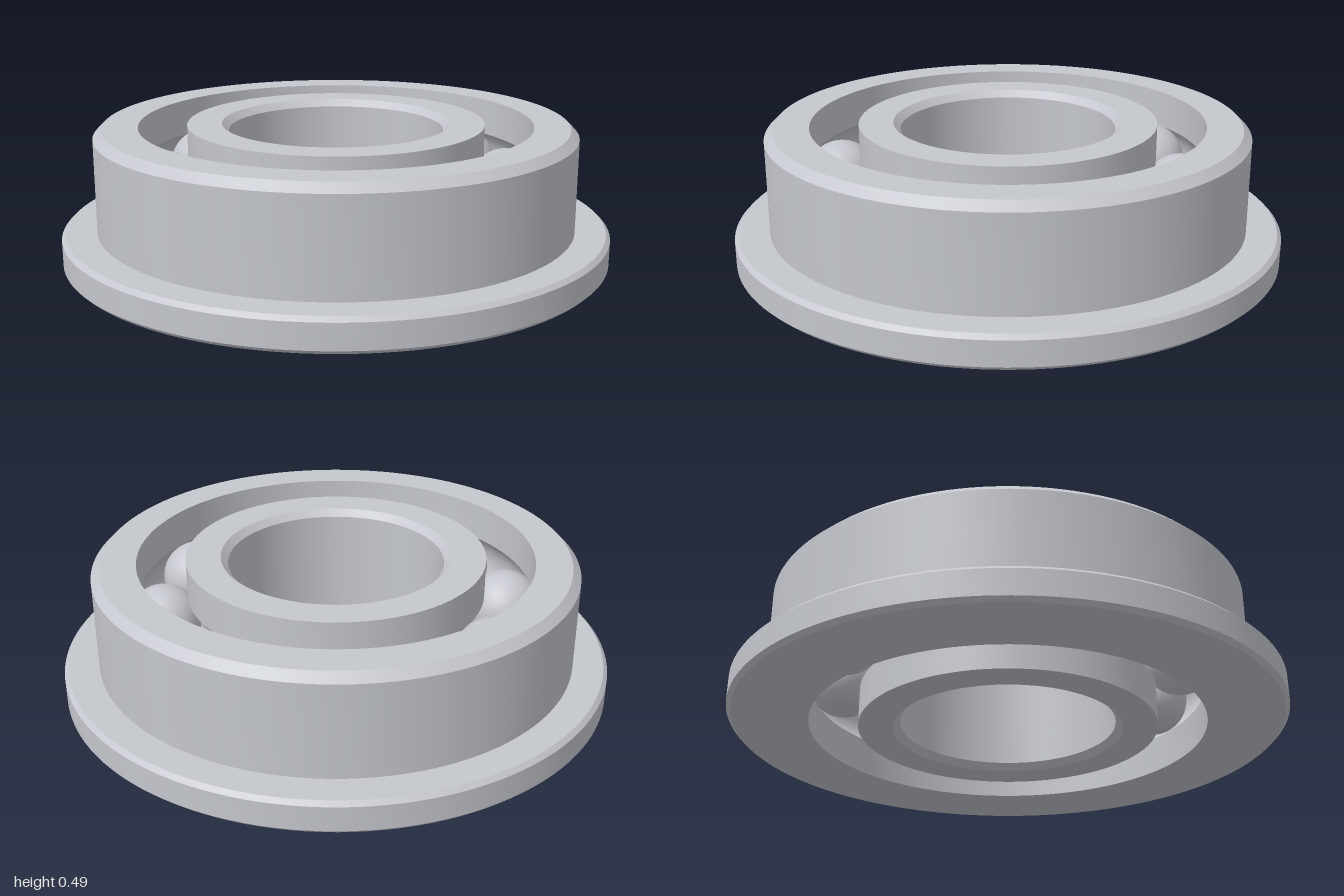
import * as THREE from 'three';
import { toCreasedNormals } from 'three/addons/utils/BufferGeometryUtils.js';

const HEIGHT = 0.49;
const MID = HEIGHT / 2;
const PITCH = 0.63;      // radius of the circle the balls run on
const BALL = 0.135;
const GROOVE = 0.137;
const BALL_COUNT = 10;

// Arc of the ball groove in the (radius, height) plane
function grooveArc(from, to, steps = 12) {
  return Array.from({ length: steps + 1 }, (_, i) => {
    const a = from + (to - from) * i / steps;
    return [PITCH + GROOVE * Math.cos(a), MID + GROOVE * Math.sin(a)];
  });
}

// Closed ring turned from a profile running up the outside and down the inside
function turnedRing(name, profile, material) {
  const points = [...profile, profile[0]].map(([r, y]) => new THREE.Vector2(r, y));
  const geometry = toCreasedNormals(new THREE.LatheGeometry(points, 128), Math.PI / 6);
  const mesh = new THREE.Mesh(geometry, material);
  mesh.name = name;
  return mesh;
}

export function createModel() {
  const model = new THREE.Group();
  model.name = 'flangedBallBearing';
  const steel = new THREE.MeshStandardMaterial({ color: 0xc4c7cd });
  steel.name = 'steel';

  // Outer ring with chamfered flange and inner raceway
  const outerWall = 0.715;
  const outerAngle = Math.acos((outerWall - PITCH) / GROOVE);
  model.add(turnedRing('outerRing', [
    [outerWall, 0], [0.985, 0], [1, 0.015], [1, 0.105], [0.985, 0.12],
    [0.875, 0.12], [0.875, 0.46], [0.845, HEIGHT], [outerWall, HEIGHT],
    ...grooveArc(outerAngle, -outerAngle),
  ], steel));

  // Inner ring with outer raceway and chamfered bore
  const innerWall = 0.54;
  const innerAngle = Math.acos((PITCH - innerWall) / GROOVE);
  model.add(turnedRing('innerRing', [
    [0.39, 0.025], [0.415, 0], [innerWall, 0],
    ...grooveArc(Math.PI + innerAngle, Math.PI - innerAngle),
    [innerWall, HEIGHT], [0.415, HEIGHT], [0.39, HEIGHT - 0.025],
  ], steel));

  // Balls
  const balls = new THREE.Group();
  balls.name = 'balls';
  const ballGeometry = new THREE.SphereGeometry(BALL, 40, 24);
  for (let i = 0; i < BALL_COUNT; i++) {
    const a = i * 2 * Math.PI / BALL_COUNT;
    const ball = new THREE.Mesh(ballGeometry, steel);
    ball.name = `ball${i + 1}`;
    ball.position.set(PITCH * Math.cos(a), MID, PITCH * Math.sin(a));
    balls.add(ball);
  }
  model.add(balls);
  return model;
}
